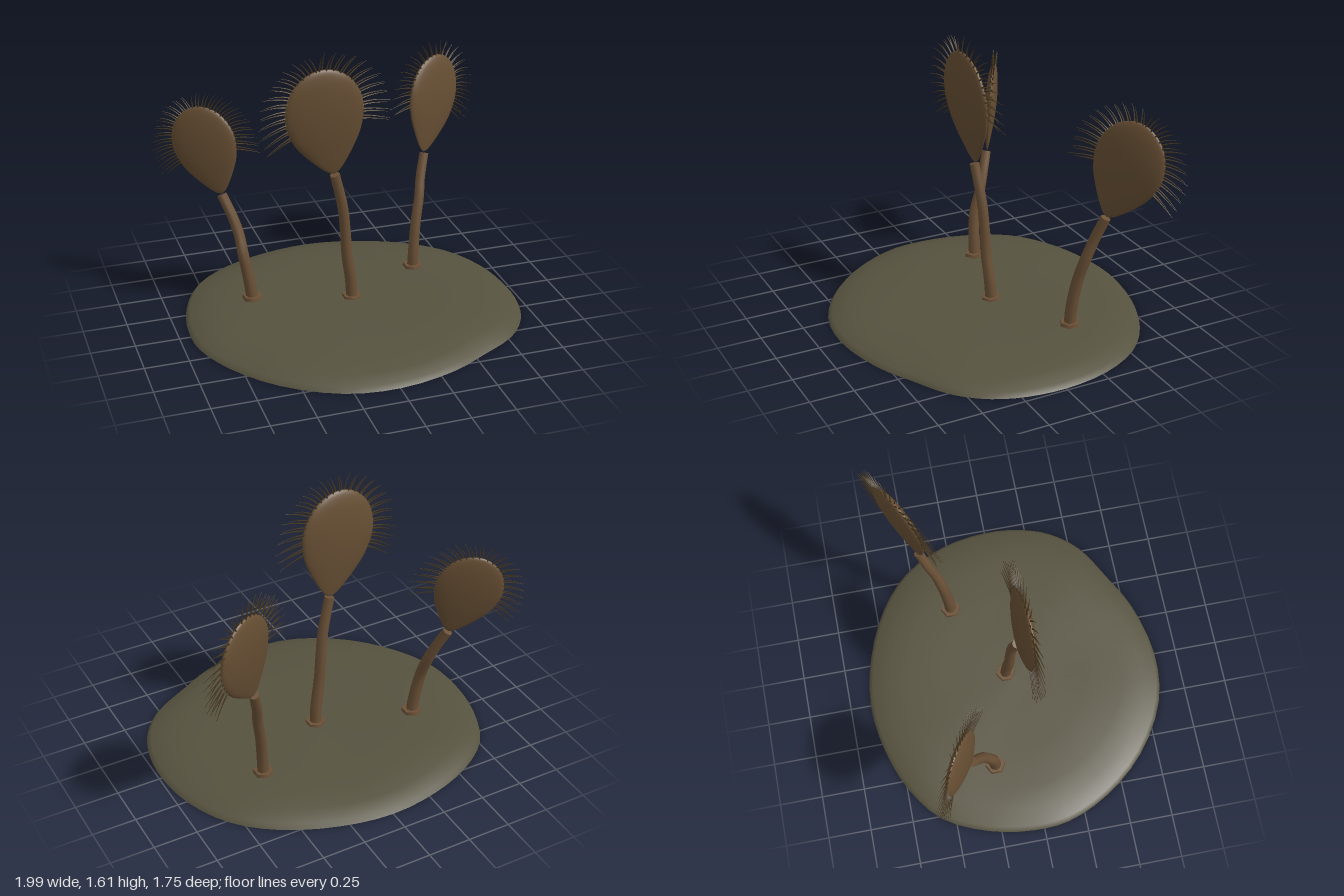
import * as THREE from 'three';
import { mergeGeometries } from 'three/addons/utils/BufferGeometryUtils.js';

const V = (x, y, z) => new THREE.Vector3(x, y, z);
const material = (name, color, side = THREE.FrontSide) => {
  const m = new THREE.MeshStandardMaterial({ color, side });
  m.name = name;
  return m;
};
const soil = material('soil', 0x56523f, THREE.DoubleSide);
const stemBrown = material('stemBrown', 0x6a5036);
const leafBrown = material('leafBrown', 0x664e33);
const bristleBrown = material('bristleBrown', 0x45361f, THREE.DoubleSide);

const mesh = (name, geometry, mat) => {
  const m = new THREE.Mesh(geometry, mat);
  m.name = name;
  return m;
};

// Uneven soil shell, open beneath: one outline, repeated as rings of [scale, height]
function soilGeometry() {
  const outline = [
    [0.985, 0], [0.965, 0.22], [0.9, 0.4], [0.77, 0.56], [0.55, 0.69], [0.33, 0.8], [0, 0.87],
    [-0.3, 0.83], [-0.6, 0.65], [-0.81, 0.4], [-0.92, 0.15], [-0.935, -0.06], [-0.89, -0.32],
    [-0.765, -0.58], [-0.56, -0.74], [-0.3, -0.84], [0, -0.88], [0.3, -0.83], [0.6, -0.7],
    [0.81, -0.52], [0.94, -0.27],
  ].map(([x, z]) => V(x, 0, z));
  const n = 63;
  const edge = new THREE.CatmullRomCurve3(outline, true).getPoints(n).slice(0, n);
  const rings = [[1, 0], [0.975, 0.028], [0.87, 0.048], [0.74, 0.066], [0.5, 0.072],
    [0.25, 0.072], [0, 0.072]];
  const pos = [], index = [];
  rings.forEach(([s, y], i) => {
    edge.forEach((p) => {
      const bump = i > 1 ? 0.004 * Math.sin(p.x * s * 7 + 1) * Math.cos(p.z * s * 6) : 0;
      pos.push(p.x * s, y + bump, p.z * s);
    });
    if (i === rings.length - 1) return;
    for (let j = 0; j < n; j++) {
      const a = i * n + j, b = i * n + (j + 1) % n;
      index.push(a, a + n, b, b, a + n, b + n);
    }
  });
  const g = new THREE.BufferGeometry();
  g.setAttribute('position', new THREE.Float32BufferAttribute(pos, 3));
  g.setIndex(index);
  g.computeVertexNormals();
  return g;
}

// Tapered bent stem with a flat end and a six-sided collar at its foot
function makeStem(points) {
  const group = new THREE.Group();
  group.name = 'stem';
  const curve = new THREE.CatmullRomCurve3(points.map((p) => V(...p)));
  const steps = 18, sides = 8, r = 0.035;
  const tube = new THREE.TubeGeometry(curve, steps, r, sides);
  const pos = tube.attributes.position;
  for (let k = 0; k < pos.count; k++) {
    const u = Math.floor(k / (sides + 1)) / steps;
    const c = curve.getPointAt(u);
    const p = V().fromBufferAttribute(pos, k).sub(c).multiplyScalar(1 - 0.18 * u).add(c);
    pos.setXYZ(k, p.x, p.y, p.z);
  }
  const cap = mesh('stemEnd', new THREE.CircleGeometry(r * 0.82, sides), stemBrown);
  cap.position.copy(curve.getPoint(1));
  cap.quaternion.setFromUnitVectors(V(0, 0, 1), curve.getTangent(1));
  const collar = mesh('stemCollar', new THREE.CylinderGeometry(0.056, 0.066, 0.046, 6), stemBrown);
  collar.position.set(points[0][0], 0.066, points[0][2]);
  group.add(mesh('stemShaft', tube, stemBrown), cap, collar);
  return group;
}

// Egg-shaped outline of unit height, narrow at the foot
const profile = new THREE.SplineCurve([
  [0, 0], [0.05, 0.022], [0.108, 0.08], [0.202, 0.2], [0.296, 0.35], [0.345, 0.5], [0.356, 0.62],
  [0.328, 0.75], [0.265, 0.865], [0.175, 0.945], [0.085, 0.987], [0, 1],
].map(([x, y]) => new THREE.Vector2(x, y)));

// One thin curved bristle, starting at p along dir and bending towards bend
function bristle(p, dir, bend, length) {
  const g = new THREE.CylinderGeometry(0.002, 0.0085, 1, 4, 5, true);
  g.translate(0, 0.5, 0);
  const side = V(-dir.y, dir.x, 0);
  const pos = g.attributes.position;
  for (let k = 0; k < pos.count; k++) {
    const x = pos.getX(k), t = pos.getY(k), z = pos.getZ(k);
    const q = p.clone().addScaledVector(dir, t * length).addScaledVector(bend, t * t * length)
      .addScaledVector(side, x);
    pos.setXYZ(k, q.x, q.y, q.z + z);
  }
  g.computeVertexNormals();
  return g;
}

// Flattened leaf pad with a double fringe of bristles around its upper rim
function makeTrap(foot, top, across) {
  const group = new THREE.Group();
  group.name = 'trap';
  const pad = new THREE.LatheGeometry(profile.getPoints(40).map((p) => p.setX(Math.max(0, p.x))), 32);
  pad.scale(1, 1, 0.185);
  group.add(mesh('leafPad', pad, leafBrown));

  const fringe = [];
  const perSide = 24;
  for (const s of [-1, 1]) {
    for (let k = 0; k < perSide; k++) {
      const u = 0.43 + 0.56 * (k / (perSide - 1));
      const p = profile.getPointAt(u), t = profile.getTangentAt(u);
      const row = k % 2 ? 1 : -1;
      const dir = V(s * t.y, -t.x, row * 0.05).normalize();
      const bend = V(s * 0.22, -0.24 * Math.abs(t.y), row * 0.06);
      const length = 0.138 + 0.06 * Math.abs(t.y) + 0.012 * Math.sin(k * 2.3 + s);
      fringe.push(bristle(V(s * p.x * 0.98, p.y * 0.99, row * 0.007), dir, bend, length));
    }
  }
  group.add(mesh('bristles', mergeGeometries(fringe), bristleBrown));

  // Stand the pad on its foot, leaning towards the top point
  const up = V(...top).sub(V(...foot));
  const size = up.length();
  up.normalize();
  const x = V(...across);
  x.addScaledVector(up, -x.dot(up)).normalize();
  const z = V().crossVectors(x, up);
  group.quaternion.setFromRotationMatrix(new THREE.Matrix4().makeBasis(x, up, z));
  group.position.set(...foot);
  group.scale.setScalar(size);
  return group;
}

export function createModel() {
  const model = new THREE.Group();
  model.name = 'trapPlant';
  model.add(mesh('soilMound', soilGeometry(), soil));

  const plants = [
    { name: 'middlePlant',
      stem: [[0.03, 0.055, -0.048], [0.022, 0.18, -0.042], [-0.005, 0.36, -0.031],
        [-0.015, 0.5, -0.028], [-0.032, 0.66, -0.02], [-0.085, 0.88, 0]],
      top: [-0.192, 1.515, 0.04], across: [1, 0, -0.06] },
    { name: 'rightPlant',
      stem: [[-0.52, 0.055, -0.215], [-0.535, 0.18, -0.22], [-0.56, 0.34, -0.238],
        [-0.573, 0.46, -0.28], [-0.603, 0.57, -0.318], [-0.645, 0.68, -0.36]],
      top: [-0.772, 1.185, -0.478], across: [0.86, 0, 0.51] },
    { name: 'leftPlant',
      stem: [[0.497, 0.055, -0.3], [0.504, 0.18, -0.305], [0.525, 0.36, -0.33],
        [0.555, 0.5, -0.362], [0.572, 0.6, -0.395], [0.61, 0.74, -0.44]],
      top: [0.75, 1.3, -0.572], across: [0.87, 0, -0.5] },
  ];
  for (const { name, stem, top, across } of plants) {
    const plant = new THREE.Group();
    plant.name = name;
    const [x, y, z] = stem[stem.length - 1];
    plant.add(makeStem(stem), makeTrap([x, y + 0.005, z - 0.005], top, across));
    model.add(plant);
  }
  return model;
}
